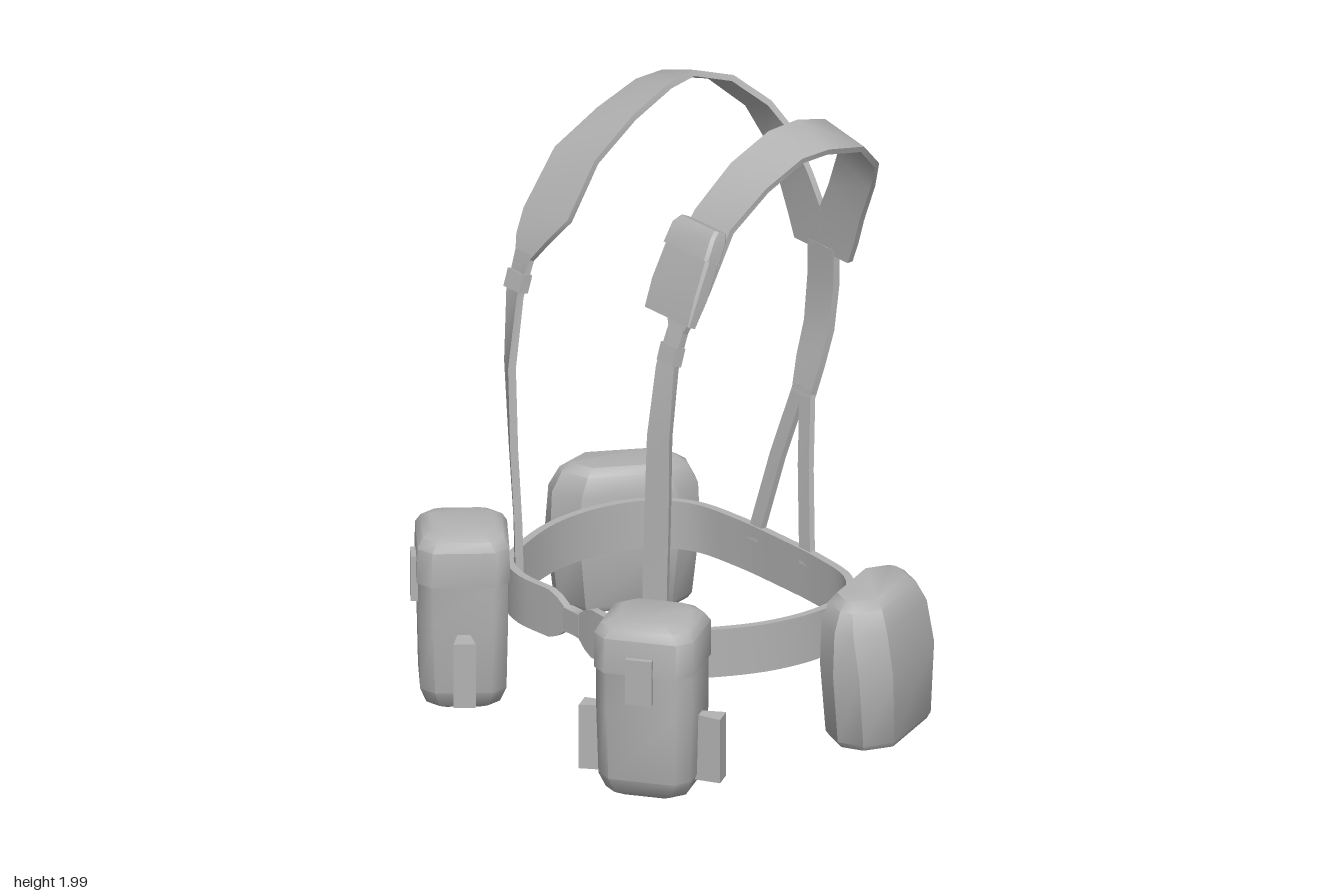
import * as THREE from 'three';
import { toCreasedNormals } from 'three/addons/utils/BufferGeometryUtils.js';

const V = (x, y, z) => new THREE.Vector3(x, y, z);

// Skin a list of equal-sized rings; open lofts get end caps.
function loft(rings, closed = false, crease = 0.65) {
  const n = rings[0].length, m = rings.length, idx = [];
  const pos = rings.flat().flatMap(p => [p.x, p.y, p.z]);
  for (let i = 0; i < (closed ? m : m - 1); i++) {
    for (let k = 0; k < n; k++) {
      const a = i * n + k, b = i * n + (k + 1) % n;
      const j = ((i + 1) % m) * n, c = j + (k + 1) % n, d = j + k;
      idx.push(a, b, c, a, c, d);
    }
  }
  if (!closed) {
    const e = (m - 1) * n;
    for (let k = 1; k < n - 1; k++) idx.push(0, k + 1, k, e, e + k, e + k + 1);
  }
  const g = new THREE.BufferGeometry();
  g.setAttribute('position', new THREE.Float32BufferAttribute(pos, 3));
  g.setIndex(idx);
  return toCreasedNormals(g, crease);
}

// Strap of a given thickness between pairs of edge points.
function ribbon(pairs, thick, closed = false) {
  const m = pairs.length;
  const mid = i => pairs[i][0].clone().add(pairs[i][1]);
  const rings = pairs.map(([a, b], i) => {
    const i0 = closed ? (i + m - 1) % m : Math.max(i - 1, 0);
    const i1 = closed ? (i + 1) % m : Math.min(i + 1, m - 1);
    const t = mid(i1).sub(mid(i0));
    const off = b.clone().sub(a).cross(t).normalize().multiplyScalar(thick / 2);
    return [a.clone().add(off), b.clone().add(off), b.clone().sub(off), a.clone().sub(off)];
  });
  return loft(rings, closed);
}

// Chamfered rectangle: half width w, depth z0..z1, corner cut c.
const octagon = ([y, w, z0, z1, c]) => [
  [c - w, z1], [w - c, z1], [w, z1 - c], [w, z0 + c],
  [w - c, z0], [c - w, z0], [-w, z0 + c], [-w, z1 - c],
].map(([x, z]) => V(x, y, z));

export function createModel() {
  const model = new THREE.Group();
  model.name = 'loadHarness';
  const grey = new THREE.MeshStandardMaterial({ color: 0xb2b2b2 });
  grey.name = 'grey webbing';
  const add = (geo, name, parent = model) => {
    const mesh = new THREE.Mesh(geo, grey);
    mesh.name = name;
    parent.add(mesh);
    return mesh;
  };

  // Waist belt, narrowing at the front buckle
  const half = [[0.12, 0.385], [0.25, 0.385], [0.37, 0.335], [0.46, 0.2], [0.53, 0.02],
    [0.54, -0.17], [0.49, -0.32], [0.38, -0.41], [0.2, -0.44]];
  const loop = [[0, 0.375], ...half, [0, -0.445],
    ...half.map(([x, z]) => [-x - 0.015, z]).reverse()];
  const path = new THREE.CatmullRomCurve3(loop.map(([x, z]) => V(x, 0, z)), true);
  const beltPairs = path.getSpacedPoints(90).slice(0, 90).map(p => {
    const k = p.z > 0 ? THREE.MathUtils.smoothstep(Math.abs(p.x), 0.03, 0.1) : 1;
    const h = 0.04 + 0.04 * k;
    return [V(p.x, 0.39 - h, p.z), V(p.x, 0.39 + h, p.z)];
  });
  add(ribbon(beltPairs, 0.026, true), 'belt');
  const buckle = add(new THREE.BoxGeometry(0.08, 0.07, 0.035), 'buckle');
  buckle.position.set(0, 0.395, 0.375);

  // Shoulder strap edges, front to back: inner xyz, outer xyz
  const shoulder = [
    [0.34, 1.46, 0.26, 0.41, 1.46, 0.26],
    [0.29, 1.53, 0.235, 0.43, 1.52, 0.24],
    [0.235, 1.61, 0.19, 0.445, 1.59, 0.2],
    [0.24, 1.78, 0.08, 0.43, 1.77, 0.09],
    [0.24, 1.9, -0.06, 0.42, 1.87, -0.06],
    [0.25, 1.975, -0.2, 0.42, 1.935, -0.2],
    [0.26, 1.99, -0.3, 0.42, 1.94, -0.3],
    [0.23, 1.95, -0.43, 0.39, 1.9, -0.46],
    [0.17, 1.86, -0.53, 0.33, 1.8, -0.565],
    [0.12, 1.77, -0.58, 0.27, 1.7, -0.595],
    [0.05, 1.64, -0.6, 0.2, 1.56, -0.605],
    [0, 1.55, -0.605, 0.165, 1.47, -0.61],
    [0, 1.4, -0.61, 0.135, 1.4, -0.61],
  ];
  // Lower front strap: x, y, z, half width, twist
  const front = [
    [0.345, 0.34, 0.325, 0.04, 0.62], [0.345, 0.6, 0.325, 0.04, 0.62],
    [0.355, 0.85, 0.325, 0.04, 0.6], [0.365, 1.12, 0.325, 0.038, 0.5],
    [0.372, 1.35, 0.3, 0.036, 0.2], [0.375, 1.48, 0.255, 0.036, 0],
  ];

  for (const s of [1, -1]) {
    const side = s > 0 ? 'left' : 'right';
    // The right strap hangs slightly further out at the front
    const P = (x, y, z) => V(s > 0 ? x
      : -x - 0.03 * THREE.MathUtils.smoothstep(z, -0.25, 0.1)
        * THREE.MathUtils.smoothstep(y, 0.3, 1.1), y, z);

    add(ribbon(shoulder.map(e => [P(e[0], e[1], e[2]), P(e[3], e[4], e[5])]), 0.02),
      side + 'ShoulderStrap');
    add(ribbon(front.map(([x, y, z, w, a]) => {
      const dx = w * Math.cos(a), dz = w * Math.sin(a);
      return [P(x - dx, y, z + dz), P(x + dx, y, z - dz)];
    }), 0.025), side + 'FrontStrap');
    const adjuster = add(new THREE.BoxGeometry(0.078, 0.06, 0.038), side + 'Adjuster');
    adjuster.position.copy(P(0.374, 1.39, 0.287));
    adjuster.rotation.x = -0.3;

    // Rear straps fanning out to the belt
    const tail = [[0.015, 0.96, -0.535], [0.07, 0.72, -0.485], [0.135, 0.42, -0.44]];
    add(ribbon(tail.map(([x, y, z]) => [V(s * x - 0.028, y, z), V(s * x + 0.028, y, z)]), 0.02),
      side + 'RearStrap');

    // Front pouch with lid, clip and side loops
    const pouch = new THREE.Group();
    pouch.name = side + 'FrontPouch';
    pouch.position.set(s > 0 ? 0.478 : -0.488, 0, 0.442);
    pouch.rotation.y = s * 0.63;
    model.add(pouch);
    add(loft([
      [0.005, 0.1, -0.09, 0.09, 0.035], [0.02, 0.13, -0.115, 0.115, 0.04],
      [0.07, 0.15, -0.135, 0.135, 0.045], [0.3, 0.156, -0.14, 0.14, 0.045],
      [0.45, 0.156, -0.14, 0.14, 0.045],
    ].map(octagon), false, 0.8), 'pouchBody', pouch);
    add(loft([
      [0.43, 0.162, -0.146, 0.146, 0.045], [0.545, 0.162, -0.144, 0.144, 0.045],
      [0.575, 0.145, -0.128, 0.128, 0.045], [0.592, 0.11, -0.1, 0.1, 0.04],
    ].map(octagon), false, 0.8), 'pouchLid', pouch);
    add(new THREE.BoxGeometry(0.085, 0.15, 0.025), 'pouchClip', pouch).position.set(0, 0.415, 0.15);
    for (const k of [1, -1]) {
      const g = new THREE.BoxGeometry(0.09, 0.22, 0.07);
      const p = g.attributes.position;
      for (let i = 0; i < p.count; i++) {
        if (p.getX(i) * k < 0) p.setZ(i, p.getZ(i) * 0.5);
        else p.setY(i, p.getY(i) * 0.97);
      }
      g.computeVertexNormals();
      add(g, 'sideLoop', pouch).position.set(k * 0.185, 0.16, 0);
    }

    // Large rear hip pouch with faceted shoulders
    const hip = new THREE.Group();
    hip.name = side + 'HipPouch';
    hip.position.set(s > 0 ? 0.665 : -0.667, 0, s > 0 ? -0.3 : -0.335);
    hip.rotation.y = s * 2.06;
    model.add(hip);
    add(loft([
      [0.08, 0.2, -0.1, 0.115, 0.07], [0.1, 0.213, -0.112, 0.125, 0.075],
      [0.33, 0.238, -0.122, 0.128, 0.08], [0.47, 0.232, -0.12, 0.105, 0.08],
      [0.535, 0.2, -0.105, 0.078, 0.07], [0.56, 0.165, -0.085, 0.05, 0.055],
    ].map(octagon)), 'hipPouchBody', hip);
  }

  // Central back strap joining the yoke to the rear straps
  const spine = [[1.42, -0.61, 0.066], [1.3, -0.61, 0.066], [1.15, -0.593, 0.062],
    [1.04, -0.56, 0.058], [0.93, -0.53, 0.045]];
  add(ribbon(spine.map(([y, z, w]) => [V(-w, y, z), V(w, y, z)]), 0.024), 'spineStrap');

  // Small flat pocket on the left shoulder strap
  const pocket = new THREE.Group();
  pocket.name = 'shoulderPocket';
  pocket.position.set(0.34, 1.635, 0.195);
  pocket.rotation.x = -0.43;
  model.add(pocket);
  add(loft([
    [-0.155, 0.113, -0.01, 0.022, 0.004], [-0.06, 0.116, -0.02, 0.034, 0.008],
    [0.09, 0.108, -0.022, 0.036, 0.01],
  ].map(octagon)), 'pocketBody', pocket);
  add(loft([
    [0.06, 0.112, -0.024, 0.044, 0.01], [0.13, 0.106, -0.024, 0.042, 0.01],
    [0.158, 0.094, -0.02, 0.026, 0.01],
  ].map(octagon)), 'pocketFlap', pocket);

  return model;
}
